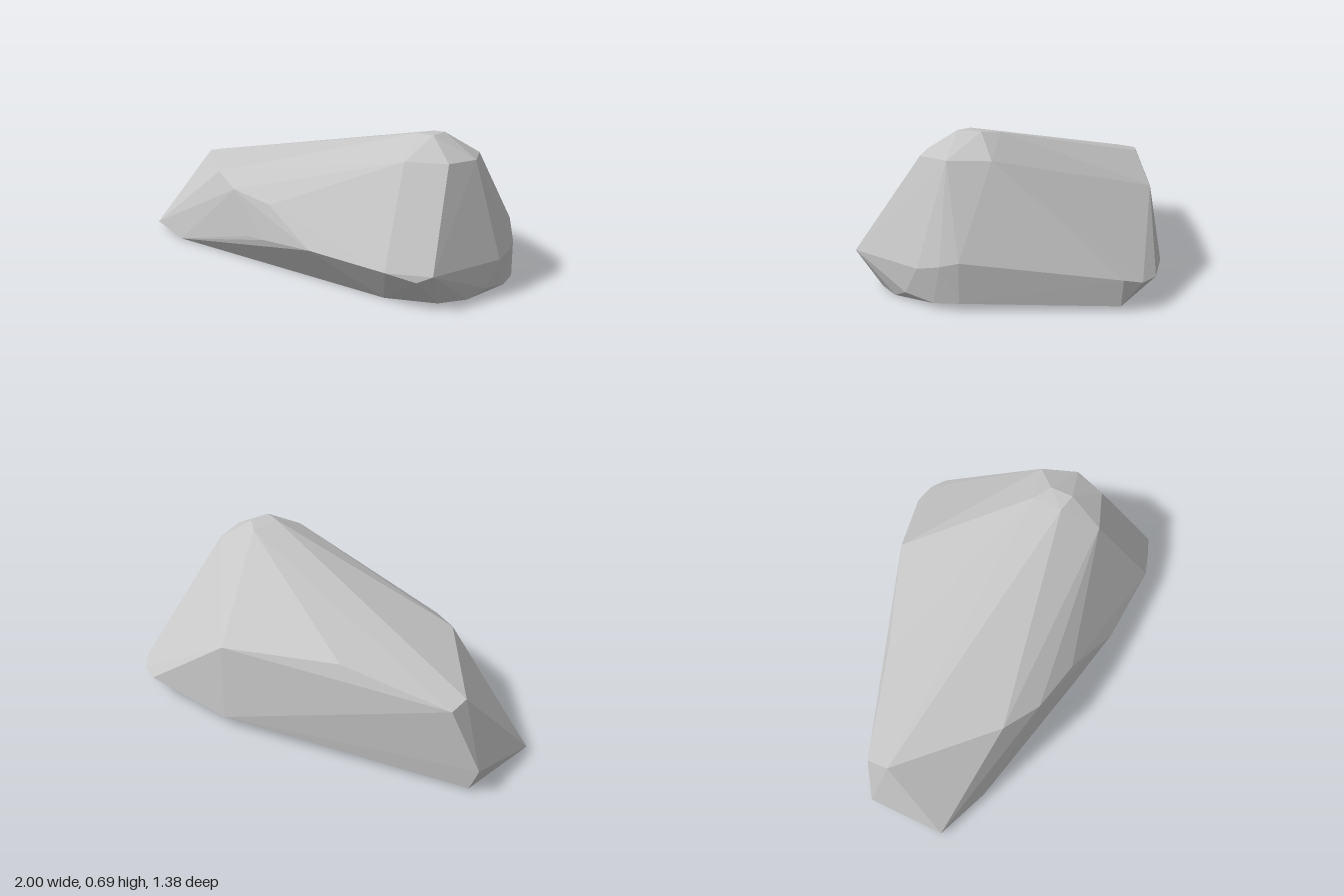
import * as THREE from 'three';
import { ConvexGeometry } from 'three/addons/geometries/ConvexGeometry.js';

// Corner rings of the boulder, as [x, y, z]
const crown = [
  [0.54, 0.69, 0.18], [0.62, 0.69, 0.23], [0.66, 0.69, 0.12], [0.6, 0.68, 0.04],
];
const shoulder = [
  [0.51, 0.59, 0.38], [0.71, 0.59, 0.38], [0.82, 0.59, 0.25], [0.82, 0.59, 0.06],
  [0.4, 0.41, -0.63], [-0.2, 0.47, -0.6], [-0.74, 0.4, -0.63], [-0.77, 0.41, -0.53],
  [-0.52, 0.41, 0], [-0.38, 0.36, 0.165], [-0.15, 0.33, 0.31],
];
const waist = [
  [-0.28, 0.15, 0.265], [-0.17, 0.16, 0.34], [0.1, 0.18, 0.51], [0.48, 0.16, 0.675],
  [0.62, 0.13, 0.685], [0.69, 0.16, 0.68], [0.95, 0.16, 0.36], [0.99, 0.18, 0.26],
  [1, 0.2, 0.18], [0.96, 0.13, -0.49], [0.92, 0.11, -0.57], [0.83, 0.11, -0.63],
  [0.38, 0.05, -0.69], [-0.88, 0.12, -0.63], [-1, 0.03, -0.27],
];
const foot = [
  [-0.78, 0, -0.08], [0.46, 0, 0.55], [0.7, 0, 0.56], [0.82, 0, 0.48], [0.9, 0.04, 0.42],
  [0.97, 0.02, 0.29], [1, 0.03, 0.18], [0.96, 0.02, -0.48], [-0.84, 0.01, -0.63],
];

export function createModel() {
  const group = new THREE.Group();
  group.name = 'boulder';
  const stone = new THREE.MeshStandardMaterial({ color: 0xc6c6c6, flatShading: true });
  stone.name = 'grey stone';

  // Faceted hull around the rings
  const corners = [...crown, ...shoulder, ...waist, ...foot].map((p) => new THREE.Vector3(...p));
  const rock = new THREE.Mesh(new ConvexGeometry(corners), stone);
  rock.name = 'rock';
  group.add(rock);
  return group;
}
